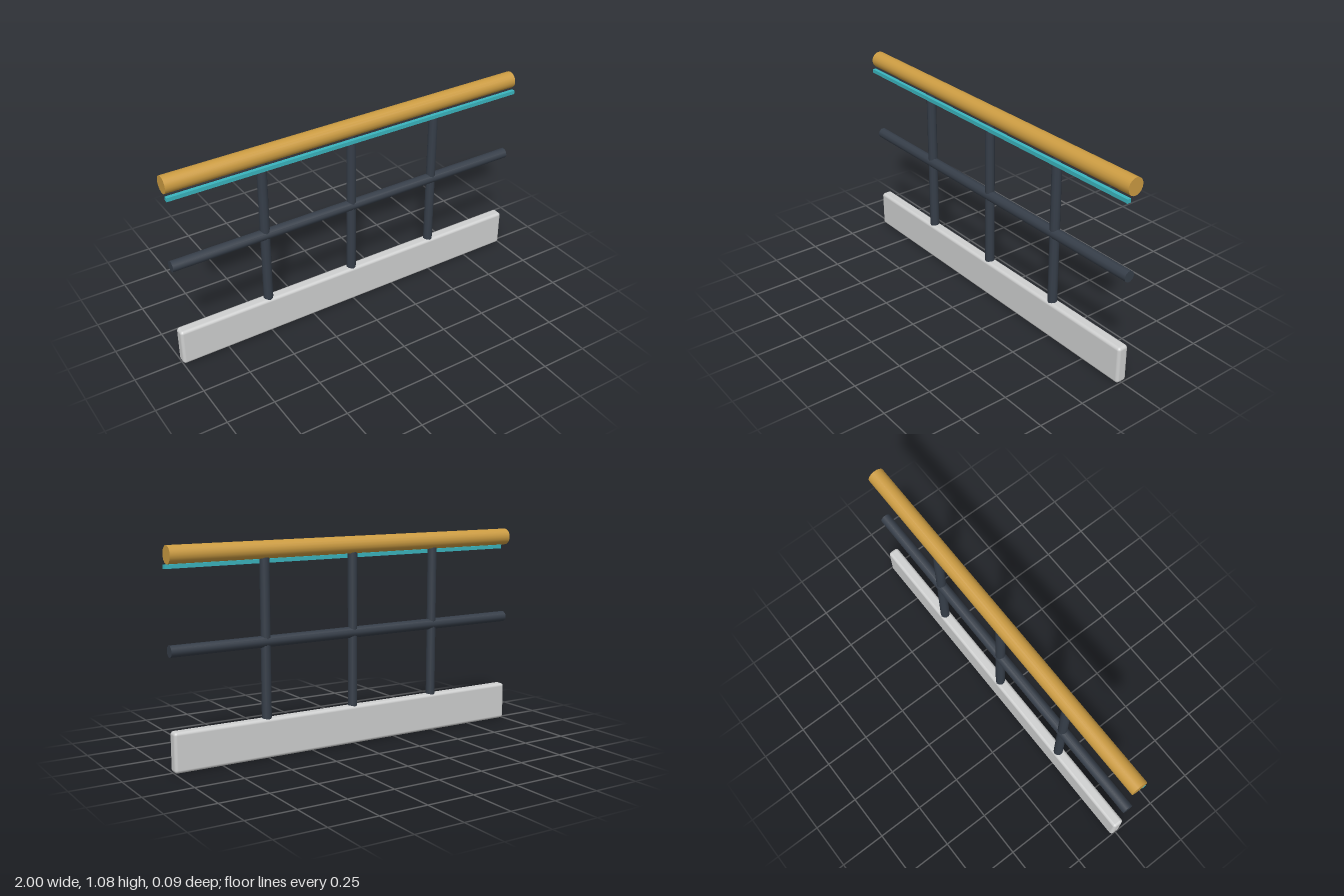
import * as THREE from 'three';
import { RoundedBoxGeometry } from 'three/addons/geometries/RoundedBoxGeometry.js';

function material(name, color) {
  const m = new THREE.MeshStandardMaterial({ color });
  m.name = name;
  return m;
}

export function createModel() {
  const group = new THREE.Group();
  group.name = 'railing';
  const wood = material('honey wood', 0xcc9c42);
  const metal = material('dark metal', 0x363e49);
  const concrete = material('light concrete', 0xcfd0d0);
  const teal = material('teal strip', 0x3ab4be);

  const add = (name, geometry, mat, x, y, z) => {
    const mesh = new THREE.Mesh(geometry, mat);
    mesh.name = name;
    mesh.position.set(x, y, z);
    group.add(mesh);
  };
  const bar = (radius, sides) =>
    new THREE.CylinderGeometry(radius, radius, 2, sides).rotateZ(Math.PI / 2);

  // Rounded kerb at the foot
  add('kerb', new RoundedBoxGeometry(2, 0.2, 0.06, 3, 0.016), concrete, 0, 0.1, 0);

  // Upright posts, from the kerb into the handrail
  for (const x of [-0.5, 0, 0.5]) {
    add('post', new THREE.CylinderGeometry(0.025, 0.025, 0.82, 10), metal, x, 0.59, 0);
  }

  // Horizontal rails
  add('midRail', bar(0.029, 10), metal, 0, 0.583, 0);
  add('handrail', bar(0.044, 20), wood, 0, 1.031, 0);

  // Thin strip along the front, below the handrail
  add('accentStrip', new THREE.BoxGeometry(2, 0.02, 0.02), teal, 0, 0.973, 0.035);

  return group;
}
